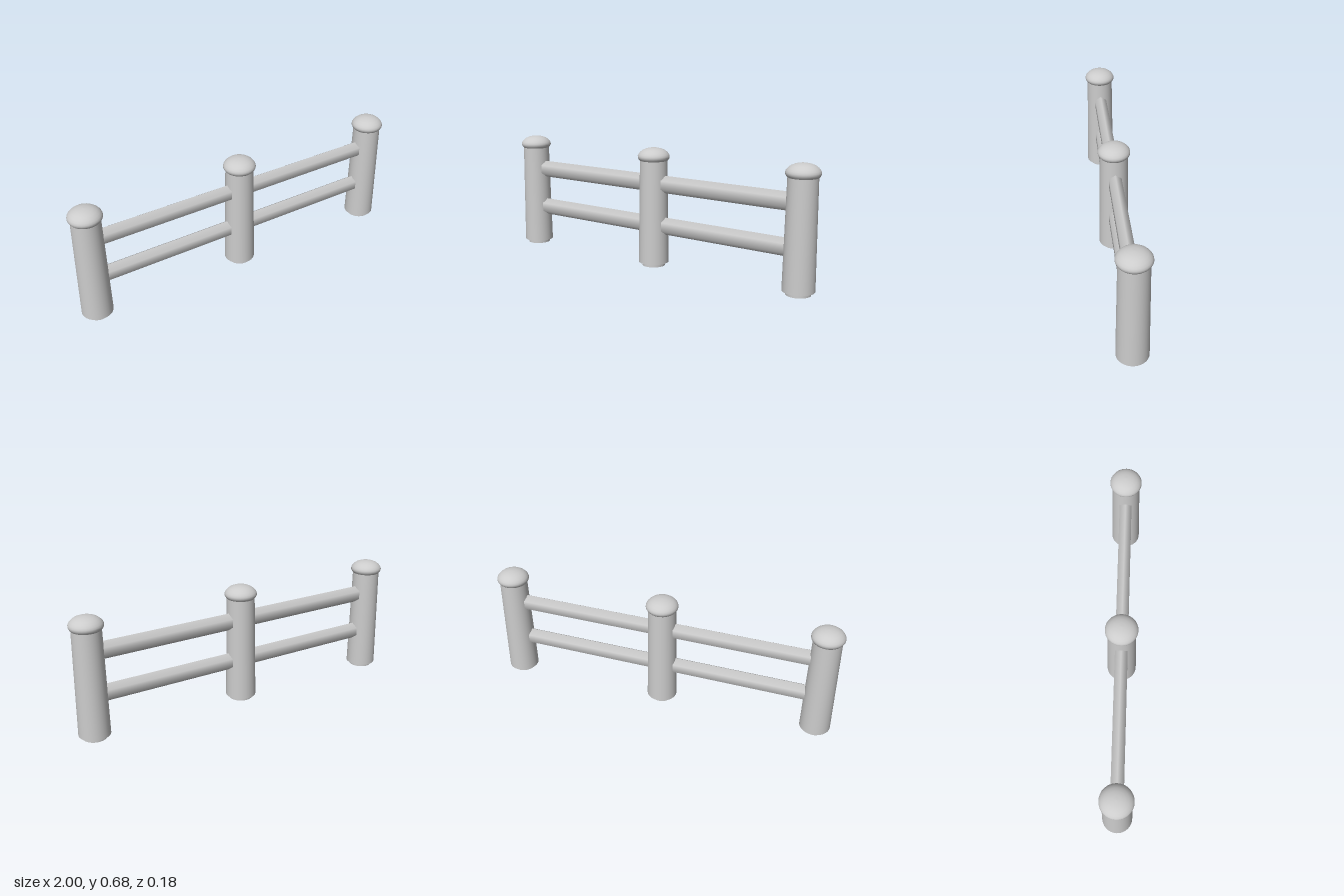
import * as THREE from 'three';

const SIDES = 32;

function lathe(points) {
  return new THREE.LatheGeometry(points.map(([r, y]) => new THREE.Vector2(r, y)), SIDES);
}

export function createModel() {
  const model = new THREE.Group();
  model.name = 'fence';
  const grey = new THREE.MeshStandardMaterial({ color: 0xcccccc });
  grey.name = 'plain grey';

  const add = (parent, name, geometry, x = 0, y = 0) => {
    const mesh = new THREE.Mesh(geometry, grey);
    mesh.name = name;
    mesh.position.set(x, y, 0);
    parent.add(mesh);
    return mesh;
  };

  // Post pieces: narrow foot, tapered trunk, rounded cap
  const foot = new THREE.CylinderGeometry(0.066, 0.066, 0.022, SIDES);
  const trunk = new THREE.CylinderGeometry(0.078, 0.086, 0.592, SIDES);
  const cap = lathe([
    [0, 0.611], [0.079, 0.611], [0.079, 0.611], [0.086, 0.619], [0.09, 0.628],
    [0.09, 0.637], [0.086, 0.647], [0.077, 0.658], [0.063, 0.669],
    [0.044, 0.677], [0.022, 0.682], [0, 0.683],
  ]);

  for (const [side, x] of [['right', -0.91], ['middle', 0], ['left', 0.91]]) {
    const post = new THREE.Group();
    post.name = side + 'Post';
    post.position.x = x;
    add(post, 'foot', foot, 0, 0.011);
    add(post, 'trunk', trunk, 0, 0.316);
    add(post, 'cap', cap);
    model.add(post);
  }

  // Six-sided rails with a ridge on top, slightly flattened front to back
  const rail = new THREE.CylinderGeometry(0.05, 0.05, 0.84, 6);
  rail.rotateY(Math.PI / 2);
  rail.rotateZ(Math.PI / 2);
  rail.scale(1, 1, 0.81);
  for (const [level, y] of [['lower', 0.24], ['upper', 0.48]]) {
    for (const [side, x] of [['Right', -0.455], ['Left', 0.455]]) {
      add(model, level + side + 'Rail', rail, x, y);
    }
  }
  return model;
}
